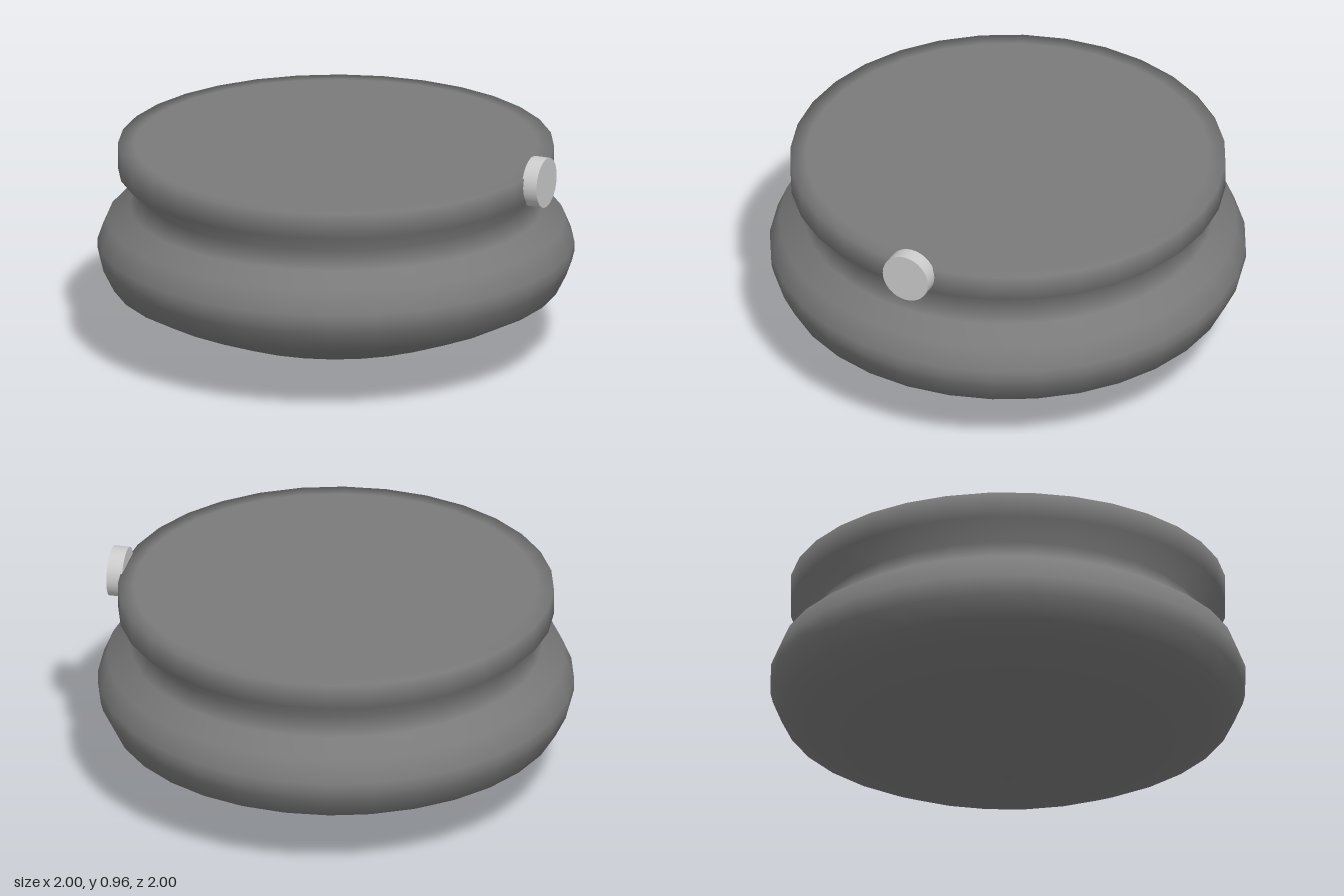
import * as THREE from 'three';

export function createModel() {
  const group = new THREE.Group();

  // Round body: tapered bowl, full belly, pinched neck and a closed flat lid
  const profile = [
    [0, 0], [0.165, 0], [0.6, 0.145], [0.82, 0.235], [0.945, 0.3], [0.99, 0.39],
    [1, 0.43], [1, 0.475], [0.96, 0.57], [0.865, 0.625], [0.83, 0.705],
    [0.915, 0.785], [0.915, 0.895], [0.85, 0.895], [0, 0.895],
  ].map(([r, y]) => new THREE.Vector2(r, y));
  const body = new THREE.Mesh(
    new THREE.LatheGeometry(profile, 32),
    new THREE.MeshStandardMaterial({ color: 0x7a7a7a })
  );
  body.name = 'body';
  group.add(body);

  // Small upright disc on the rim, at the model's left
  const knob = new THREE.Mesh(
    new THREE.CylinderGeometry(0.106, 0.106, 0.066, 32),
    new THREE.MeshStandardMaterial({ color: 0xcccccc })
  );
  knob.name = 'rimKnob';
  knob.rotation.z = Math.PI / 2;
  knob.position.set(0.932, 0.856, 0);
  group.add(knob);

  return group;
}
